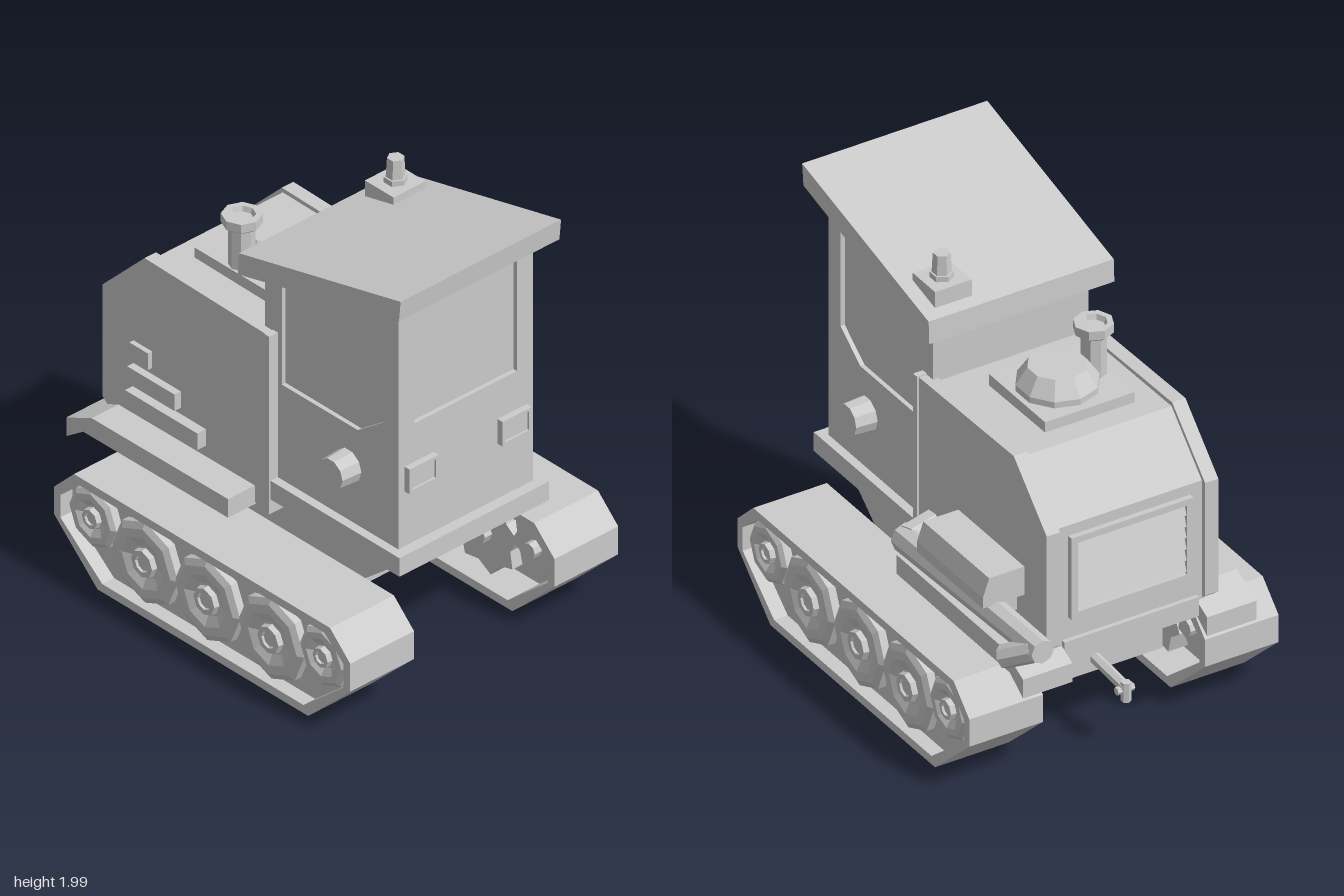
import * as THREE from 'three';

const mat = new THREE.MeshStandardMaterial({ color: 0xcccccc, flatShading: true });

export function createModel() {
  const model = new THREE.Group();

  const add = (name, geometry, parent = model) => {
    const mesh = new THREE.Mesh(geometry, mat);
    mesh.name = name;
    parent.add(mesh);
    return mesh;
  };
  // Box given by its limits on each axis
  const box = (name, x0, x1, y0, y1, z0, z1) =>
    add(name, new THREE.BoxGeometry(x1 - x0, y1 - y0, z1 - z0)
      .translate((x0 + x1) / 2, (y0 + y1) / 2, (z0 + z1) / 2));
  const vectors = pts => pts.map(p => new THREE.Vector2(...p));
  const extrude = (pts, depth, hole) => {
    const shape = new THREE.Shape(vectors(pts));
    if (hole) shape.holes.push(new THREE.Path(vectors(hole)));
    return new THREE.ExtrudeGeometry(shape, { depth, bevelEnabled: false });
  };
  // Side profile of [z, y] points, extruded from x0 to x1
  const prism = (name, pts, x0, x1, hole, parent) =>
    add(name, extrude(pts, x1 - x0, hole).rotateY(-Math.PI / 2).translate(x1, 0, 0), parent);
  const lathe = (pts, sides) => new THREE.LatheGeometry(vectors(pts), sides);
  // Straight rod between two points
  const rod = (name, a, b, r, sides = 8, r2 = r) => {
    const p = new THREE.Vector3(...a), q = new THREE.Vector3(...b);
    const dir = q.clone().sub(p);
    const mesh = add(name, new THREE.CylinderGeometry(r2, r, dir.length(), sides));
    mesh.position.copy(p).add(q).multiplyScalar(0.5);
    mesh.quaternion.setFromUnitVectors(new THREE.Vector3(0, 1, 0), dir.normalize());
  };

  // Crawler tracks with dished road wheels outside and cogs inside
  const band = [[1, 0.24], [1, 0.375], [0.88, 0.49], [-0.64, 0.49], [-0.76, 0.37], [-0.76, 0.24], [-0.5, 0], [0.75, 0]];
  const inner = band.map(([z, y]) => [0.12 + (z - 0.12) * 0.955, 0.245 + (y - 0.245) * 0.84]);
  const wheels = [[0.81, 0.305, 0.14], [0.5, 0.24, 0.195], [0.12, 0.24, 0.195], [-0.25, 0.24, 0.195], [-0.56, 0.305, 0.14]];
  for (const s of [1, -1]) {
    const track = new THREE.Group();
    track.name = s > 0 ? 'leftTrack' : 'rightTrack';
    model.add(track);
    const span = (a, b) => (s > 0 ? [a, b] : [-b, -a]);
    prism('trackBand', band, ...span(0.385, 0.735), inner, track);
    prism('trackWeb', inner, ...span(0.56, 0.67), null, track);
    for (const [z, y, r] of wheels) {
      const profile = [[0, 0], [r, 0], [r, 0.035], [r * 0.85, 0.05], [r * 0.64, 0.05], [r * 0.4, 0.03],
        [r * 0.34, 0.03], [r * 0.32, 0.055], [r * 0.2, 0.055], [r * 0.18, 0.045], [0, 0.045]];
      const wheel = add('roadWheel', lathe(profile, 8).rotateZ(-s * Math.PI / 2), track);
      wheel.position.set(s * 0.67, y, z);
      const star = Array.from({ length: 16 }, (_, i) => {
        const a = i * Math.PI / 8 + 0.2, q = i % 2 ? r * 0.82 : r * 1.04;
        return [z + q * Math.cos(a), y + q * Math.sin(a)];
      });
      prism('trackCog', star, ...span(0.46, 0.565), null, track);
      const hub = add('cogHub', new THREE.CylinderGeometry(r * 0.25, r * 0.25, 0.06, 8).rotateZ(Math.PI / 2), track);
      hub.position.set(s * 0.45, y, z);
    }
  }

  // Belly between the tracks
  prism('belly', [[0.88, 0.62], [0.46, 0.28], [0.46, 0.235], [-0.54, 0.235], [-0.54, 0.62]], -0.32, 0.32);

  // Fenders beside and behind the hood
  const fender = [[0.08, 0.64], [-0.73, 0.635], [-0.88, 0.565], [-0.88, 0.475], [-0.78, 0.545], [0.08, 0.55]];
  prism('leftFender', fender, 0.32, 0.555);
  prism('rightFender', fender, -0.555, -0.32);
  box('rearSill', -0.32, 0.32, 0.54, 0.63, -0.82, -0.5);

  // Tow hitch
  rod('hitchBar', [0, 0.3, -0.5], [0, 0.28, -0.78], 0.025, 6);
  rod('hitchPin', [0, 0.22, -0.775], [0, 0.31, -0.775], 0.022, 6);
  rod('hitchCross', [-0.04, 0.27, -0.765], [0.04, 0.27, -0.765], 0.018, 6);

  // Cab floor slab
  box('cabFloor', -0.41, 0.41, 0.62, 0.71, 0.15, 0.94);

  // Cab core with framed window panels
  const roofY = z => 1.67 + (z - 0.1) * 0.252;
  const cabSide = front => [[front, 0.7], [front, roofY(front)], [0.1, roofY(0.1)], [0.1, 0.7]];
  prism('cabCore', cabSide(0.87), -0.35, 0.35);
  const sideWindow = [[0.8, 1.81], [0.2, 1.65], [0.2, 1.17], [0.65, 1.17], [0.8, 1.28]];
  prism('leftCabPanel', cabSide(0.89), 0.35, 0.37, sideWindow);
  prism('rightCabPanel', cabSide(0.89), -0.37, -0.35, sideWindow);
  add('frontCabPanel', extrude([[-0.35, 0.7], [0.35, 0.7], [0.35, 1.87], [-0.35, 1.87]], 0.02,
    [[-0.28, 1.28], [0.28, 1.28], [0.28, 1.82], [-0.28, 1.82]]).translate(0, 0, 0.87));

  // Sloping roof and beacon
  prism('roof', [[0.98, 1.985], [0.97, 1.885], [0.015, 1.645], [0.02, 1.75]], -0.44, 0.44);
  box('beaconBase', 0.2, 0.375, 1.75, 1.84, 0.075, 0.245);
  rod('beaconCollar', [0.29, 1.83, 0.16], [0.29, 1.865, 0.16], 0.05, 6);
  rod('beacon', [0.29, 1.85, 0.16], [0.29, 1.955, 0.16], 0.042, 6, 0.036);

  // Headlights and side lamps
  for (const s of [1, -1]) {
    const light = add('headlight', extrude([[-0.08, -0.06], [0.08, -0.06], [0.08, 0.06], [-0.08, 0.06]], 0.035,
      [[-0.065, -0.045], [0.065, -0.045], [0.065, 0.045], [-0.065, 0.045]]));
    light.position.set(s * 0.255, 1.035, 0.885);
    box('headlightLens', s * 0.255 - 0.066, s * 0.255 + 0.066, 0.989, 1.081, 0.88, 0.91);
    rod('sideLamp', [s * 0.36, 0.975, 0.595], [s * 0.468, 0.975, 0.595], 0.077, 10, 0.07);
  }

  // Engine hood, side plates and front collar
  prism('hood', [[0.15, 1.39], [-0.57, 1.4], [-0.8, 1.17], [-0.8, 0.56], [0.15, 0.56]], -0.36, 0.36);
  const plate = [[0.15, 1.405], [-0.575, 1.42], [-0.825, 1.17], [-0.825, 0.63], [-0.74, 0.56], [0.15, 0.56]];
  prism('leftHoodPlate', plate, 0.345, 0.408);
  prism('rightHoodPlate', plate, -0.408, -0.345);
  box('hoodCollar', -0.417, 0.417, 0.55, 1.41, 0.145, 0.175);

  // Rear grille: frame with tilted slats
  add('grilleFrame', extrude([[-0.29, 0.73], [0.29, 0.73], [0.29, 1.12], [-0.29, 1.12]], 0.03,
    [[-0.26, 0.76], [0.26, 0.76], [0.26, 1.09], [-0.26, 1.09]]).translate(0, 0, -0.825));
  for (let i = 0; i < 6; i++) {
    const slat = add('grilleSlat', new THREE.BoxGeometry(0.53, 0.045, 0.012));
    slat.position.set(0, 0.79 + i * 0.054, -0.807);
    slat.rotation.x = 0.35;
  }

  // Stepped vents on the right of the hood
  [-0.21, -0.36, -0.53].forEach((z, i) =>
    box('sideVent', -0.455 + i * 0.012, -0.4, 0.69 + i * 0.11, 0.77 + i * 0.11, -0.64, z));

  // Air intake dome and stack on top of the hood
  box('intakePlate', -0.235, 0.19, 1.38, 1.447, -0.465, -0.04);
  add('intakeDome', lathe([[0, 0], [0.175, 0], [0.175, 0.03], [0.125, 0.105], [0, 0.105]], 10))
    .position.set(0, 1.445, -0.255);
  rod('stack', [-0.175, 1.44, -0.25], [-0.175, 1.65, -0.25], 0.055);
  add('stackCap', lathe([[0, 0], [0.07, 0], [0.085, 0.012], [0.085, 0.053], [0.058, 0.053], [0.05, 0.03], [0, 0.03]], 8))
    .position.set(-0.175, 1.637, -0.25);

  // Exhaust on the left: elbow, long pipe, bent tip and muffler box
  rod('exhaustElbow', [0.38, 0.755, 0.045], [0.555, 0.755, -0.005], 0.066);
  rod('exhaustPipe', [0.545, 0.75, 0.035], [0.535, 0.755, -0.998], 0.066, 8, 0.054);
  rod('exhaustTip', [0.545, 0.745, -0.955], [0.62, 0.675, -0.835], 0.052);
  add('mufflerBox', extrude([[0.4, 0.8], [0.605, 0.8], [0.605, 0.85], [0.575, 0.935], [0.4, 0.935]], 0.5)
    .translate(0, 0, -0.655));
  box('exhaustBracket', 0.4, 0.53, 0.7, 0.81, -0.6, -0.2);

  return model;
}
